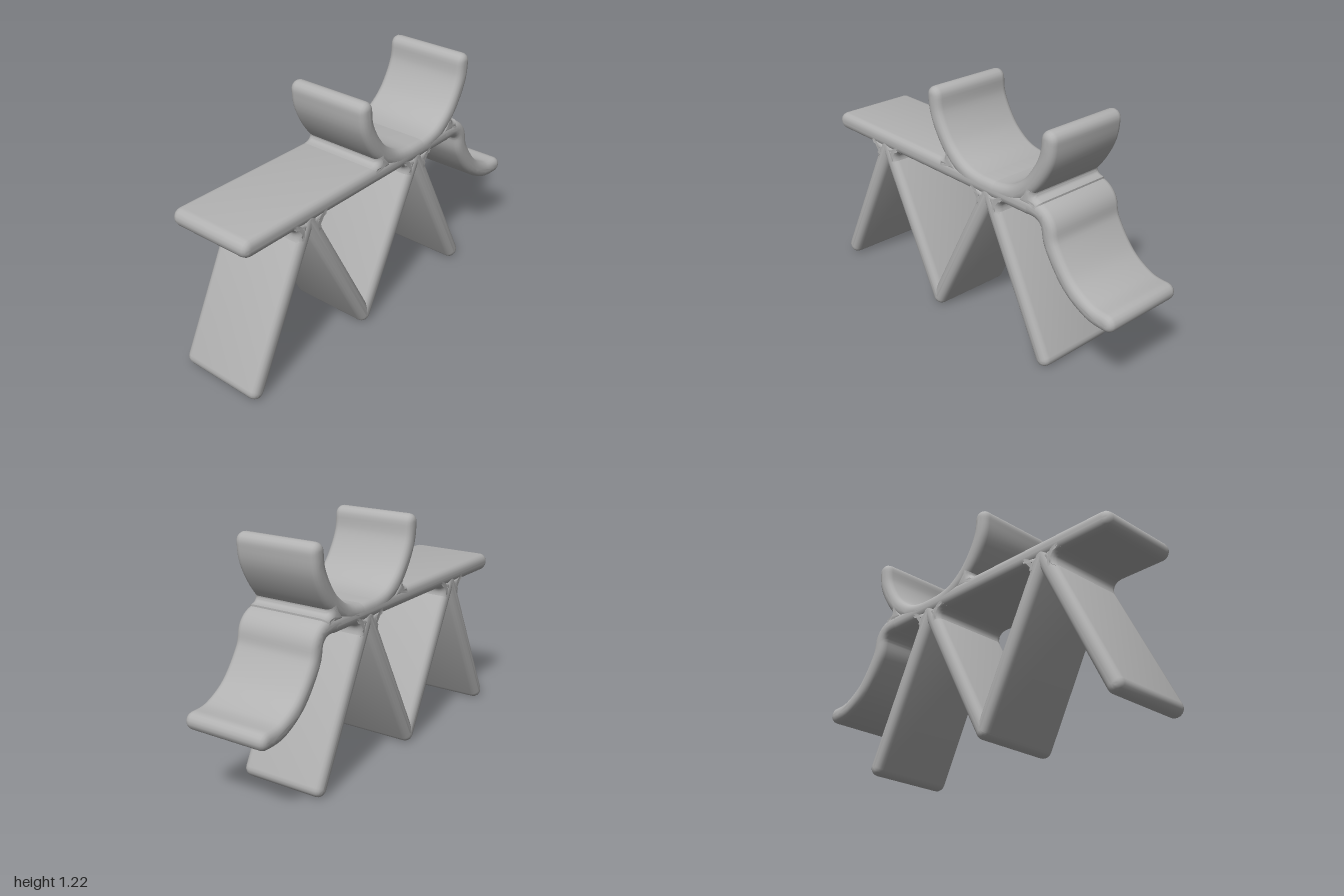
import * as THREE from 'three';
import { toCreasedNormals } from 'three/addons/utils/BufferGeometryUtils.js';

const WIDTH = 0.46;   // along z
const BEVEL = 0.035;  // soft edge radius

export function createModel() {
  const model = new THREE.Group();
  model.name = 'sculpturalBench';
  const grey = new THREE.MeshStandardMaterial({ color: 0xb2b2b2 });
  grey.name = 'grey';

  // Extrude a side profile across the full width with rounded edges
  function addProfile(name, shape) {
    const geo = new THREE.ExtrudeGeometry(shape, {
      depth: WIDTH - 2 * BEVEL, curveSegments: 8, bevelEnabled: true, bevelSegments: 4,
      bevelThickness: BEVEL, bevelSize: BEVEL, bevelOffset: -BEVEL,
    });
    geo.translate(0, 0, BEVEL - WIDTH / 2);
    const mesh = new THREE.Mesh(toCreasedNormals(geo, 0.7), grey);
    mesh.name = name;
    model.add(mesh);
  }

  // Slab of even thickness following a centreline, with round ends
  function addSlab(name, points, half, steps = 1) {
    const curve = new THREE.SplineCurve(points.map(([x, y]) => new THREE.Vector2(x, y)));
    const outline = [];
    const put = (t, angle) => {
      const p = curve.getPoint(t), d = curve.getTangent(t);
      const a = Math.atan2(d.y, d.x) + angle;
      outline.push(new THREE.Vector2(p.x + half * Math.cos(a), p.y + half * Math.sin(a)));
    };
    const cap = 8;
    for (let i = 0; i <= steps; i++) put(i / steps, -Math.PI / 2);
    for (let i = 1; i < cap; i++) put(1, -Math.PI / 2 + Math.PI * i / cap);
    for (let i = steps; i >= 0; i--) put(i / steps, Math.PI / 2);
    for (let i = 1; i < cap; i++) put(0, Math.PI / 2 + Math.PI * i / cap);
    addProfile(name, new THREE.Shape(outline));
  }

  // Concave fillet from p1 to p2 around a corner, backed by buried points
  function addFillet(name, cx, side, p1, corner, p2, buried) {
    const m = ([x, y]) => [cx + side * x, y];
    const shape = new THREE.Shape();
    shape.moveTo(...m(p1));
    shape.quadraticCurveTo(...m(corner), ...m(p2));
    buried.forEach((p) => shape.lineTo(...m(p)));
    shape.closePath();
    addProfile(name, shape);
  }

  // Flat seat board
  addSlab('seatBoard', [[-0.955, 0.82], [0.46, 0.82]], 0.045);

  // Zigzag legs
  const zigzag = [[-0.96, 0.044], [-0.59, 0.79], [-0.195, 0.044], [0.195, 0.79], [0.575, 0.044]];
  for (let i = 0; i < 4; i++) addSlab('leg' + (i + 1), [zigzag[i], zigzag[i + 1]], 0.042);

  // Fillets where the leg pairs meet the underside of the board
  for (const cx of [-0.59, 0.195]) {
    for (const side of [-1, 1]) {
      addFillet('legFillet', cx, side, [0.13, 0.775], [0.058, 0.775], [0.09, 0.7],
        [[0.045, 0.7], [0, 0.79], [0.13, 0.82]]);
    }
  }

  // Upturned cradle, symmetric about its centre
  const cradleX = 0.195;
  const arm = [[0.385, 1.175], [0.374, 1.09], [0.328, 0.995], [0.258, 0.908], [0.15, 0.84]];
  addSlab('cradle', [
    ...arm.map(([x, y]) => [cradleX - x, y]),
    [cradleX, 0.82],
    ...arm.map(([x, y]) => [cradleX + x, y]).reverse(),
  ], 0.043, 40);
  for (const side of [-1, 1]) {
    addFillet('cradleFillet', cradleX, side, [0.35, 0.865], [0.285, 0.868], [0.318, 0.92],
      [[0.26, 0.92], [0.2, 0.83], [0.35, 0.82]]);
  }

  // Curved end sweeping down and outward from the board
  addSlab('curvedTail', [
    [0.44, 0.82], [0.53, 0.815], [0.585, 0.77], [0.613, 0.67],
    [0.72, 0.523], [0.85, 0.442], [0.957, 0.428],
  ], 0.043, 36);

  return model;
}
